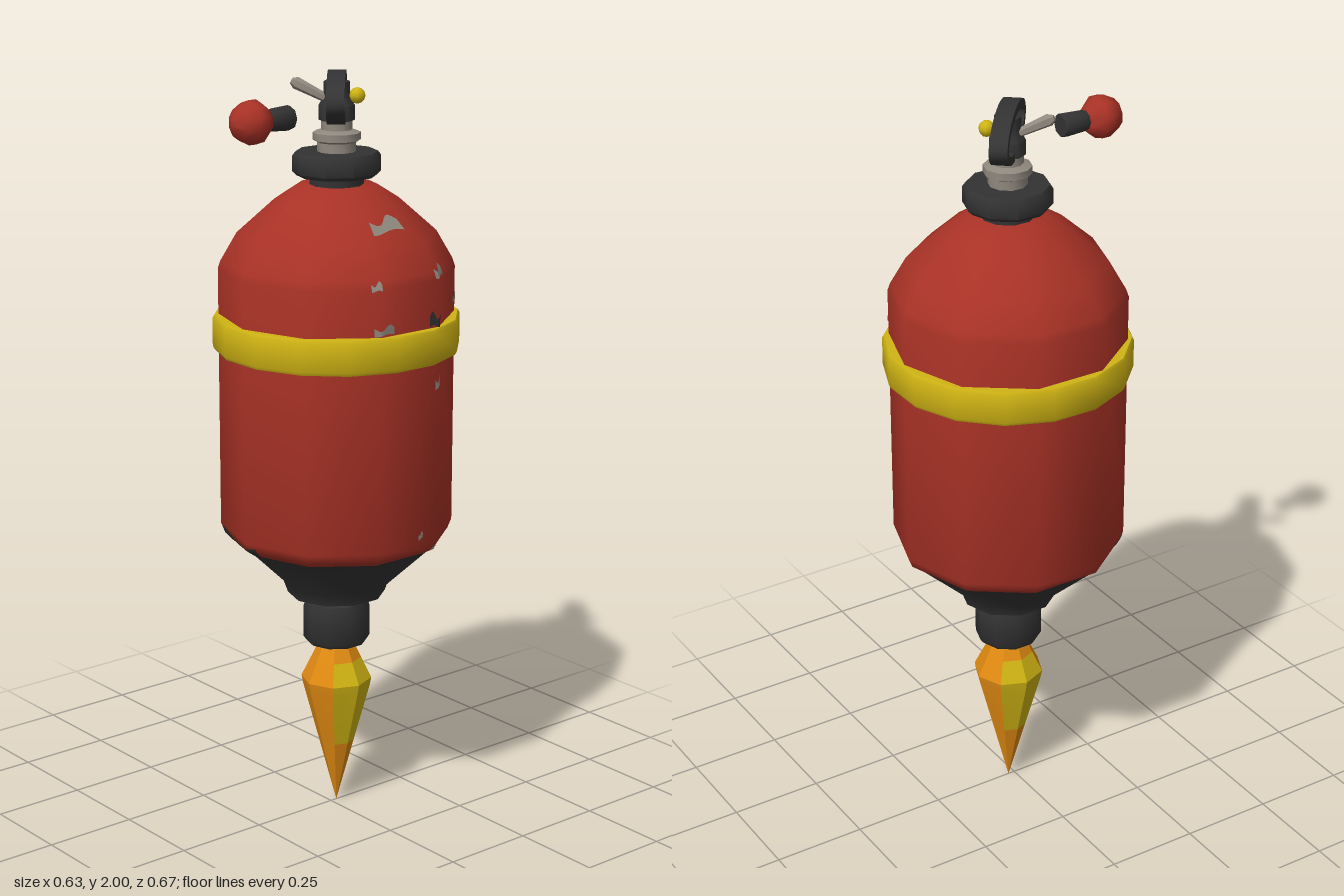
import * as THREE from 'three';
import { toCreasedNormals } from 'three/addons/utils/BufferGeometryUtils.js';

const mat = (name, color, side = THREE.FrontSide) => {
  const m = new THREE.MeshStandardMaterial({ color, side });
  m.name = name;
  return m;
};

export function createModel() {
  const red = mat('red paint', 0xa93226);
  const black = mat('black rubber', 0x333333);
  const yellow = mat('yellow', 0xd0b414);
  const orange = mat('flame orange', 0xe08a12);
  const grey = mat('bare metal', 0x8f887e);
  grey.side = black.side = THREE.DoubleSide;

  const model = new THREE.Group();
  const main = new THREE.Group();
  main.name = 'extinguisher';
  main.position.z = -0.019;
  model.add(main);

  const add = (parent, name, geometry, material) => {
    const mesh = new THREE.Mesh(geometry, material);
    mesh.name = name;
    parent.add(mesh);
    return mesh;
  };
  // profile points are [radius, height], from bottom to top
  const lathe = (pts, sides, start = 0, length = Math.PI * 2) =>
    new THREE.LatheGeometry(pts.map(p => new THREE.Vector2(...p)), sides, start, length);
  const turned = (pts, sides, start = 0) => toCreasedNormals(lathe(pts, sides, start), 0.9);

  // ten-sided tank with a dark lower cone
  const base = [[0, 0.607], [0.13, 0.607], [0.142, 0.64], [0.275, 0.765]];
  const tank = [[0.275, 0.765], [0.297, 0.78], [0.307, 0.805], [0.307, 1.495], [0.3, 1.515],
    [0.258, 1.588], [0.16, 1.675], [0.105, 1.71], [0, 1.715]];
  add(main, 'tankBase', turned(base, 10), black);
  add(main, 'tankBody', turned(tank, 10), red);

  // strap around the tank
  add(main, 'strap', turned([[0.27, 1.283], [0.318, 1.283], [0.323, 1.292], [0.323, 1.367],
    [0.318, 1.375], [0.27, 1.375]], 16, Math.PI / 16), yellow);

  // collar and valve neck
  add(main, 'collar', turned([[0.07, 1.69], [0.07, 1.732], [0.104, 1.735], [0.114, 1.745],
    [0.114, 1.785], [0.106, 1.796], [0, 1.796]], 10), black);
  add(main, 'valveNeck', turned([[0.05, 1.79], [0.05, 1.82], [0.062, 1.826], [0.062, 1.845],
    [0.04, 1.852], [0.04, 1.885], [0, 1.885]], 10), grey);

  // nozzle below the tank
  add(main, 'nozzle', turned([[0, 0.468], [0.08, 0.468], [0.089, 0.48], [0.089, 0.565], [0.083, 0.585],
    [0.066, 0.59], [0.066, 0.615]], 10), black);

  // faceted flame: yellow panels on both sides, orange elsewhere
  const flameParts = [
    ['flameTip', [[0, 0], [0.048, 0.18]], orange, orange],
    ['flameMiddle', [[0.048, 0.18], [0.091, 0.34], [0.095, 0.362], [0.067, 0.42]], orange, yellow],
    ['flameRoot', [[0.067, 0.42], [0.04, 0.475]], orange, orange],
  ];
  for (const [name, pts, ends, sides] of flameParts) {
    for (let i = 0; i < 4; i++) {
      const g = lathe(pts, 2, Math.PI * (i / 2 - 0.25), Math.PI / 2);
      add(main, name, toCreasedNormals(g, 0.3), i % 2 ? sides : ends);
    }
  }

  // valve head: upright oval grip, post, pin and knob
  const head = new THREE.Group();
  head.name = 'valveHead';
  head.position.y = 1.934;
  head.rotation.y = -0.715;
  main.add(head);
  const oval = new THREE.Shape().absellipse(0, 0, 0.154, 0.066, 0, Math.PI * 2);
  oval.holes.push(new THREE.Path().absellipse(0, 0, 0.13, 0.043, 0, Math.PI * 2));
  const ring = new THREE.ExtrudeGeometry(oval, { depth: 0.046, bevelEnabled: false, curveSegments: 20 });
  ring.translate(0, 0, -0.023);
  add(head, 'grip', toCreasedNormals(ring, 0.7), black);
  add(head, 'gripPost', turned([[0.046, -0.058], [0.046, -0.02], [0.034, 0.0], [0.034, 0.04], [0, 0.056]], 8), black);
  const knob = add(head, 'gaugeKnob', new THREE.SphereGeometry(0.021, 8, 6), yellow);
  knob.position.set(0, 0.004, -0.052);
  const pin = add(head, 'pin', turned([[0.01, 0], [0.012, 0.03], [0.016, 0.105], [0.008, 0.118], [0, 0.118]], 6), grey);
  pin.position.set(0, -0.012, 0.01);
  pin.rotation.x = 1.1;

  // detached lever with a ball end, pointing forward
  const lever = new THREE.Group();
  lever.name = 'lever';
  lever.position.set(0.028, 1.902, 0);
  lever.rotation.x = Math.PI / 2;
  model.add(lever);
  add(lever, 'leverStem', turned([[0, 0.155], [0.029, 0.155], [0.032, 0.162], [0.029, 0.215], [0.024, 0.235], [0, 0.235]], 8), black);
  add(lever, 'leverBall', turned([[0, 0.225], [0.032, 0.232], [0.056, 0.262], [0.056, 0.285],
    [0.04, 0.317], [0.014, 0.332], [0, 0.335]], 10), red);

  // thin worn patches that follow the tank surface
  const radiusAt = y => {
    const i = Math.max(1, tank.findIndex(p => p[1] >= y));
    const [[r0, y0], [r1, y1]] = [tank[i - 1], tank[i]];
    return r0 + (r1 - r0) * (y - y0) / (y1 - y0);
  };
  const step = Math.PI / 5;
  const patch = (name, phi0, phi1, y0, y1, material) => {
    const g = new THREE.PlaneGeometry(1, 1, 10, 3);
    const p = g.attributes.position;
    for (let i = 0; i < p.count; i++) {
      const u = p.getX(i) + 0.5, v = p.getY(i) + 0.5;
      const phi = phi0 + (phi1 - phi0) * u;
      // ragged, tapering outline
      const y = y0 + (y1 - y0) * (v * (0.75 + 0.25 * Math.sin(u * 7)) + 0.12 * Math.sin(u * 5));
      const local = phi - Math.floor(phi / step) * step - step / 2;
      const r = radiusAt(y) * Math.cos(step / 2) / Math.cos(local) + 0.003;
      p.setXYZ(i, r * Math.sin(phi), y, r * Math.cos(phi));
    }
    g.computeVertexNormals();
    add(main, name, g, material);
  };
  patch('basePaintEdge', -0.75, 0.1, 0.766, 0.802, black);
  // [centre z, centre y, width, height] of chips on the +x side
  const chips = [[0.005, 1.636, 0.095, 0.032], [-0.105, 1.517, 0.045, 0.028], [0.105, 1.505, 0.025, 0.022],
    [0.085, 1.392, 0.055, 0.024], [-0.235, 1.415, 0.022, 0.02], [-0.095, 1.23, 0.022, 0.03],
    [-0.04, 0.83, 0.014, 0.02], [-0.095, 0.785, 0.02, 0.018]];
  for (const [z, y, w, h] of chips) {
    const r = radiusAt(y);
    patch('paintChip', Math.acos((z - w / 2) / r), Math.acos((z + w / 2) / r), y - h / 2, y + h / 2, grey);
  }
  patch('darkChip', 1.78, 1.9, 1.378, 1.415, black);

  return model;
}
